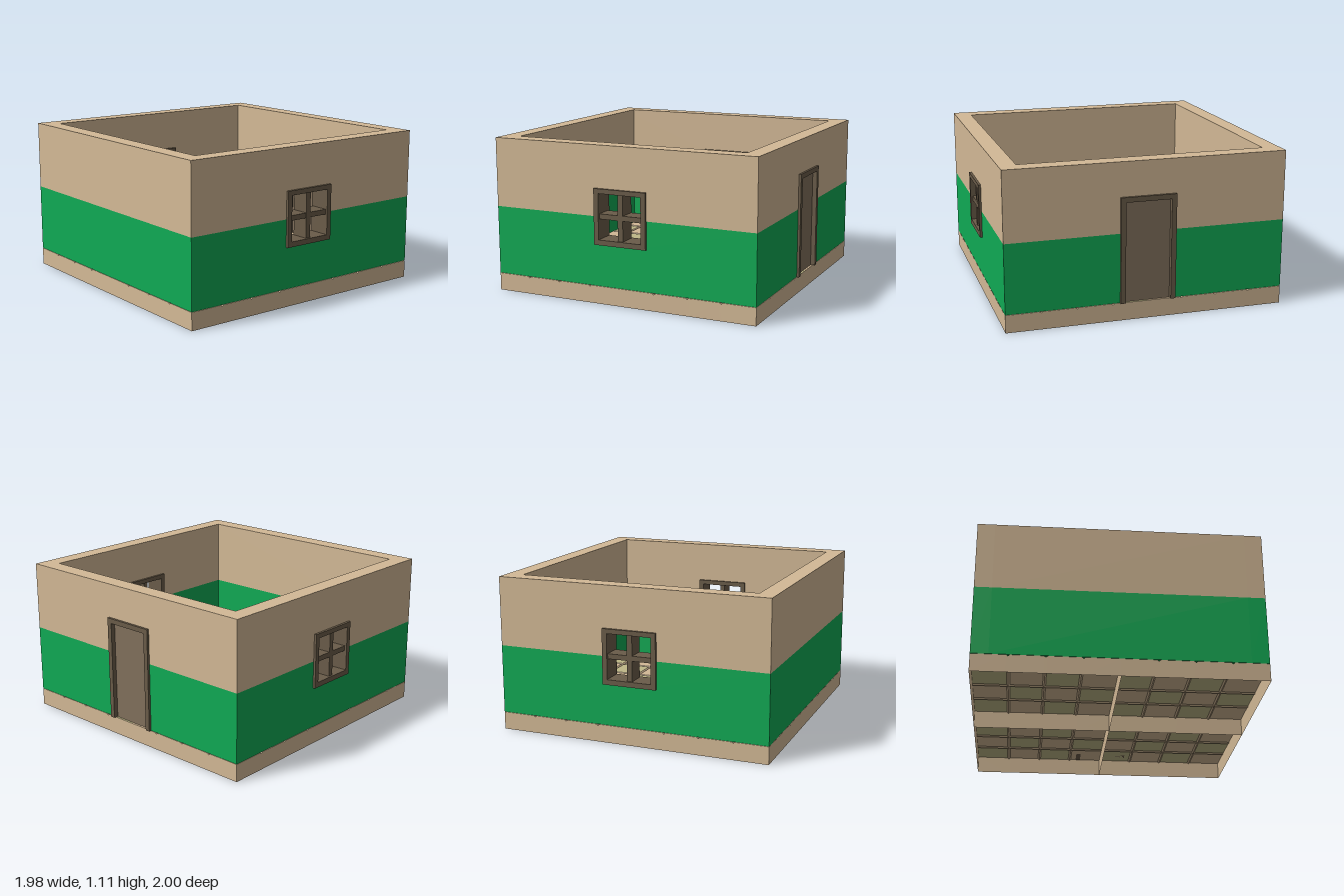
import * as THREE from 'three';

const HALF = 0.9825;      // half of the outer footprint
const THICK = 0.12;       // wall thickness
const FLOOR = 0.125, MID = 0.615, TOP = 1.105;
const TRIM_DEPTH = 0.155; // window and door frames stand proud of the wall

const mat = (color) => new THREE.MeshStandardMaterial({ color });
const tan = mat(0xd3b996), green = mat(0x10aa54), tileGreen = mat(0xc0b888);
const frameBrown = mat(0x6a5c49), doorBrown = mat(0x81705c);
const floorTan = mat(0xd3b996);
floorTan.side = tileGreen.side = THREE.DoubleSide;

function add(group, name, geometry, material) {
  const mesh = new THREE.Mesh(geometry, material);
  mesh.name = name;
  group.add(mesh);
  return mesh;
}

// Flat outline extruded evenly about z = 0, with rectangular holes [x0, y0, x1, y1]
const rect = ([x0, y0, x1, y1]) => [[x0, y0], [x1, y0], [x1, y1], [x0, y1]];
const toPoints = (list) => list.map(([x, y]) => new THREE.Vector2(x, y));
function slab(outline, depth, holes = []) {
  const shape = new THREE.Shape(toPoints(outline));
  for (const h of holes) shape.holes.push(new THREE.Path(toPoints(rect(h))));
  return new THREE.ExtrudeGeometry(shape, { depth, bevelEnabled: false }).translate(0, 0, -depth / 2);
}

// Rectangle with a notch of half width w running from its bottom edge up to y = n
const arch = (l, y0, y1, w, n) =>
  [[-l, y0], [-w, y0], [-w, n], [w, n], [w, y0], [l, y0], [l, y1], [-l, y1]];
// Rectangle with a notch running from its top edge down to y = n
const cradle = (l, y0, y1, w, n) =>
  [[-l, y0], [l, y0], [l, y1], [w, y1], [w, n], [-w, n], [-w, y1], [-l, y1]];

// One wall: green lower band and tan upper band, cut for its opening
function makeWall(name, l, opening) {
  const wall = new THREE.Group();
  wall.name = name;
  const base = FLOOR + 0.002;
  let lower = [rect([-l, base, l, MID])], upper = rect([-l, MID, l, TOP]);
  if (opening === 'window') {
    lower = [cradle(l, base, MID, 0.18, 0.435)];
    upper = arch(l, MID, TOP, 0.18, 0.795);
  } else if (opening === 'door') {
    lower = [rect([-l, base, -0.18, MID]), rect([0.18, base, l, MID])];
    upper = arch(l, MID, TOP, 0.18, 0.85);
  }
  for (const outline of lower) add(wall, 'lowerWall', slab(outline, THICK), green);
  add(wall, 'upperWall', slab(upper, THICK), tan);
  if (opening === 'window') wall.add(makeWindow());
  if (opening === 'door') wall.add(makeDoor());
  return wall;
}

function makeWindow() {
  const g = new THREE.Group();
  g.name = 'window';
  add(g, 'windowFrame', slab(rect([-0.195, 0.42, 0.195, 0.81]), TRIM_DEPTH, [[-0.16, 0.457, 0.16, 0.777]]), frameBrown);
  add(g, 'windowUpright', slab(rect([-0.019, 0.457, 0.019, 0.777]), 0.125), frameBrown);
  add(g, 'windowCrossbar', slab(rect([-0.16, 0.599, 0.16, 0.635]), 0.123), frameBrown);
  return g;
}

function makeDoor() {
  const g = new THREE.Group();
  g.name = 'door';
  add(g, 'doorFrame', slab(arch(0.195, FLOOR, 0.865, 0.16, 0.83), TRIM_DEPTH), frameBrown);
  add(g, 'doorPanel', slab(rect([-0.16, FLOOR, 0.16, 0.83]), 0.09), doorBrown);
  return g;
}

// Geometry from a list of four-cornered faces
function quads(faces) {
  const pos = [];
  for (const [a, b, c, d] of faces) pos.push(...a, ...b, ...c, ...a, ...c, ...d);
  const geo = new THREE.BufferGeometry();
  geo.setAttribute('position', new THREE.Float32BufferAttribute(pos, 3));
  geo.computeVertexNormals();
  return geo;
}

// Floor section: 4 x 4 chequered tiles with V grooves, on a thin skirt open below
function makeFloorSection() {
  const g = new THREE.Group();
  g.name = 'floorSection';
  const step = HALF / 4, grooveHalf = 0.011, grooveDepth = 0.01;
  const lines = [{ p: 0 }];
  for (let k = 1; k < 4; k++) {
    lines.push({ p: k * step - grooveHalf }, { p: k * step, low: true }, { p: k * step + grooveHalf });
  }
  lines.push({ p: HALF });
  const height = (...ls) => FLOOR - (ls.some((l) => l.low) ? grooveDepth : 0);
  const at = (i, j) => [lines[i].p, height(lines[i], lines[j]), lines[j].p];

  const plain = [], tinted = [];
  for (let i = 0; i < lines.length - 1; i++) {
    for (let j = 0; j < lines.length - 1; j++) {
      const isTile = i % 3 === 0 && j % 3 === 0;
      const list = isTile && (i / 3 + j / 3) % 2 === 1 ? tinted : plain;
      list.push([at(i, j), at(i, j + 1), at(i + 1, j + 1), at(i + 1, j)]);
    }
  }
  add(g, 'floorTilesAndGrooves', quads(plain), floorTan);
  add(g, 'tintedFloorTiles', quads(tinted), tileGreen);

  // Skirt follows the groove profile on all four edges
  const skirt = [];
  for (let i = 0; i < lines.length - 1; i++) {
    const a = lines[i], b = lines[i + 1];
    for (const e of [0, HALF]) {
      const x = [[a.p, 0, e], [b.p, 0, e], [b.p, height(b), e], [a.p, height(a), e]];
      const z = [[e, 0, b.p], [e, 0, a.p], [e, height(a), a.p], [e, height(b), b.p]];
      skirt.push(e ? x : x.reverse(), e ? z : z.reverse());
    }
  }
  add(g, 'floorSkirt', quads(skirt), floorTan);
  return g;
}

export function createModel() {
  const model = new THREE.Group();
  model.name = 'room';

  // Four floor sections
  for (const x of [-HALF, 0]) {
    for (const z of [-HALF, 0]) {
      const section = makeFloorSection();
      section.position.set(x, 0, z);
      model.add(section);
    }
  }

  // Walls, each built facing +z and turned to its side
  const inner = HALF - THICK, mid = HALF - THICK / 2;
  const walls = [
    ['frontWall', HALF, 'window', 0],
    ['backWall', HALF, 'window', Math.PI],
    ['leftWall', inner, 'door', Math.PI / 2],
    ['rightWall', inner, null, -Math.PI / 2],
  ];
  for (const [name, l, opening, turn] of walls) {
    const wall = makeWall(name, l, opening);
    wall.rotation.y = turn;
    wall.position.set(Math.sin(turn) * mid, 0, Math.cos(turn) * mid);
    model.add(wall);
  }

  // The door frame projects on one side only, so shift to centre the whole
  model.position.x = -0.0085;
  const root = new THREE.Group();
  root.name = 'roomModel';
  root.add(model);
  return root;
}
